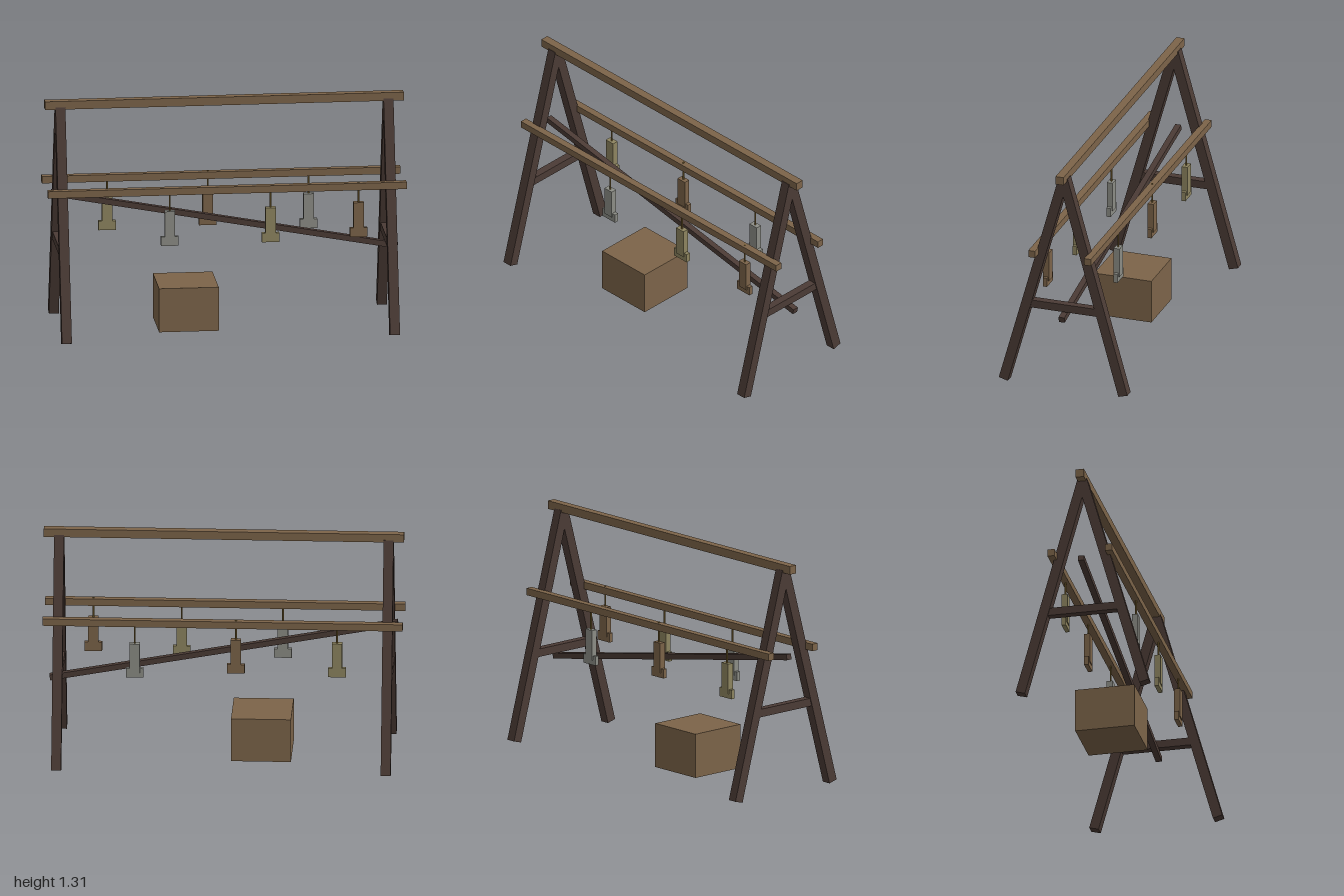
import * as THREE from 'three';

const material = (name, color) => {
  const m = new THREE.MeshStandardMaterial({ color });
  m.name = name;
  return m;
};

export function createModel() {
  const wood = material('mid brown wood', 0x7c6449);
  const darkWood = material('dark wood', 0x4b3b35);
  const olive = material('olive', 0x8e8560);
  const grey = material('grey metal', 0x8c8d86);
  const brass = material('cord', 0x8a7038);

  const model = new THREE.Group();
  model.name = 'hangingRack';

  const box = (name, mat, [w, h, d], [x, y, z], parent = model) => {
    const mesh = new THREE.Mesh(new THREE.BoxGeometry(w, h, d), mat);
    mesh.name = name;
    mesh.position.set(x, y, z);
    parent.add(mesh);
    return mesh;
  };

  // Two A-frames, each with a pair of splayed legs and a cross bar
  const foot = { y: 0.008, z: 0.352 };
  const apexY = 1.272;
  const legLength = Math.hypot(apexY - foot.y, foot.z);
  const splay = Math.atan2(foot.z, apexY - foot.y);
  for (const side of [-1, 1]) {
    const frame = new THREE.Group();
    frame.name = side > 0 ? 'leftFrame' : 'rightFrame';
    frame.position.x = side * 0.915;
    for (const s of [-1, 1]) {
      const leg = box(s > 0 ? 'frontLeg' : 'backLeg', darkWood, [0.055, legLength, 0.055],
        [0, (foot.y + apexY) / 2, s * foot.z / 2], frame);
      leg.rotation.x = -s * splay;
    }
    box('crossBar', darkWood, [0.045, 0.045, 0.41], [0, 0.488, 0], frame);
    model.add(frame);
  }

  // Ridge beam and the two side rails
  box('ridgeBeam', wood, [2, 0.047, 0.047], [0, 1.289, 0]);
  for (const s of [-1, 1]) {
    box(s > 0 ? 'frontRail' : 'backRail', wood, [2, 0.04, 0.04], [0, 0.819, s * 0.164]);
  }

  // Sloping brace between the frames
  const brace = box('brace', darkWood, [1.965, 0.032, 0.034], [0, 0.607, 0]);
  brace.rotation.z = -Math.atan2(0.355, 1.93);

  // Crate on the ground
  box('crate', wood, [0.333, 0.25, 0.336], [-0.213, 0.135, 0]);

  // Hanging tools, alternating between the back and front rails: x, top of body, colour
  const tools = [
    [-0.636, 0.717, olive], [-0.32, 0.705, grey], [-0.074, 0.73, wood],
    [0.242, 0.711, olive], [0.488, 0.697, grey], [0.733, 0.727, wood],
  ];
  tools.forEach(([x, top, mat], i) => {
    const tool = new THREE.Group();
    tool.name = 'hangingTool' + (i + 1);
    tool.position.set(x, top, i % 2 ? 0.164 : -0.164);
    const cord = new THREE.Mesh(new THREE.CylinderGeometry(0.005, 0.005, 0.115, 8), brass);
    cord.name = 'cord';
    cord.position.y = 0.0575;
    tool.add(cord);
    box('toolBody', mat, [0.057, 0.17, 0.034], [0, -0.085, 0], tool);
    box('toolFoot', mat, [0.098, 0.052, 0.024], [0, -0.172, 0], tool);
    model.add(tool);
  });

  return model;
}
